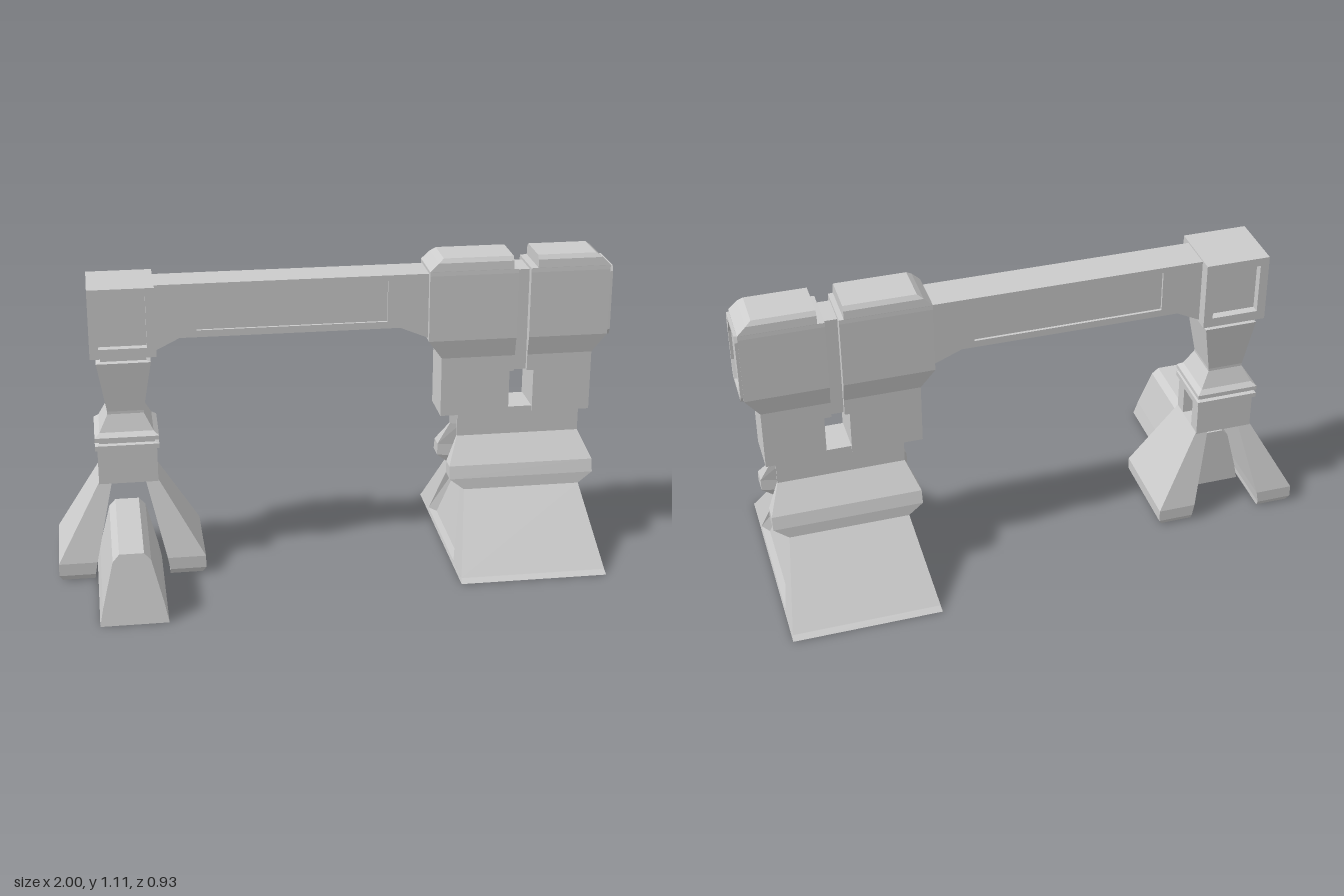
import * as THREE from 'three';

const C = -0.0675;   // z of the gate's centre plane
const LX = -0.738;   // x of the slim column
const RX = 0.68;     // x of the heavy tower

const mat = new THREE.MeshStandardMaterial({ color: 0xcccccc, flatShading: true });

function add(parent, name, geo) {
  const m = new THREE.Mesh(geo, mat);
  m.name = name;
  parent.add(m);
  return m;
}

// Skin closed rings of [x, y, z] points; end caps fan from their centres
function loft(rings) {
  const n = rings[0].length, pos = [];
  const tri = (a, b, c) => pos.push([a, b, c]);
  for (let i = 0; i < rings.length - 1; i++) {
    for (let j = 0; j < n; j++) {
      const k = (j + 1) % n, [p, q] = [rings[i], rings[i + 1]];
      tri(p[j], q[j], q[k]);
      tri(p[j], q[k], p[k]);
    }
  }
  const cap = (r, flip) => {
    const c = [0, 1, 2].map(a => r.reduce((s, p) => s + p[a], 0) / n);
    for (let j = 0; j < n; j++) {
      const k = (j + 1) % n;
      flip ? tri(c, r[k], r[j]) : tri(c, r[j], r[k]);
    }
  };
  cap(rings[0], false);
  cap(rings[rings.length - 1], true);
  // make the faces point outward whichever way the rings run
  let vol = 0;
  for (const [a, b, c] of pos) {
    vol += a[0] * (b[1] * c[2] - b[2] * c[1]) + a[1] * (b[2] * c[0] - b[0] * c[2]) + a[2] * (b[0] * c[1] - b[1] * c[0]);
  }
  const flat = pos.flatMap(([a, b, c]) => (vol < 0 ? [...a, ...c, ...b] : [...a, ...b, ...c]));
  const g = new THREE.BufferGeometry();
  g.setAttribute('position', new THREE.Float32BufferAttribute(flat, 3));
  g.computeVertexNormals();
  return g;
}

// Rectangular ring from x0 to x1 with half depth hz
const rect = (y, x0, x1, hz) => [[x0, y, C - hz], [x1, y, C - hz], [x1, y, C + hz], [x0, y, C + hz]];

const box = (x0, x1, y0, y1, z0, z1) =>
  new THREE.BoxGeometry(x1 - x0, y1 - y0, z1 - z0).translate((x0 + x1) / 2, (y0 + y1) / 2, (z0 + z1) / 2);

const shapeOf = pts => new THREE.Shape(pts.map(p => new THREE.Vector2(...p)));
const rectPts = (x0, x1, y0, y1) => [[x0, y0], [x1, y0], [x1, y1], [x0, y1]];

function plate(pts, hole, z0, z1) {
  const s = shapeOf(pts);
  if (hole) s.holes.push(new THREE.Path(hole.map(p => new THREE.Vector2(...p)).reverse()));
  return new THREE.ExtrudeGeometry(s, { depth: z1 - z0, bevelEnabled: false }).translate(0, 0, z0);
}

// Core with a framed recess on front and back
function framed(parent, name, pts, hole, half, depth) {
  add(parent, name + 'Core', plate(pts, null, C - half + depth, C + half - depth));
  add(parent, name + 'FrontFrame', plate(pts, hole, C + half - depth, C + half));
  add(parent, name + 'BackFrame', plate(pts, hole, C - half, C - half + depth));
}

function beam(root) {
  const g = new THREE.Group();
  g.name = 'crossBeam';
  framed(g, 'beam', [[-0.64, 0.81], [-0.62, 0.82], [-0.54, 0.86], [0.24, 0.86], [0.36, 0.81], [0.36, 1.055], [-0.64, 1.055]],
    rectPts(-0.48, 0.195, 0.885, 1.035), 0.0675, 0.01);
  framed(g, 'cornerBox', rectPts(-0.853, -0.623, 0.81, 1.06),
    rectPts(-0.822, -0.655, 0.845, 1.03), 0.112, 0.03);
  root.add(g);
}

function slimColumn(root) {
  const g = new THREE.Group();
  g.name = 'slimColumn';
  // two walls leave a passage through the block
  for (const s of [-1, 1]) {
    add(g, 'blockWall', box(LX - 0.105, LX + 0.105, 0.335, 0.465, C + s * 0.068 - 0.026, C + s * 0.068 + 0.026));
  }
  // stacked collars, waist and flared capital: height, half width, half depth
  const rows = [[0.445, 0.104, 0.093], [0.465, 0.104, 0.093], [0.468, 0.113, 0.108], [0.485, 0.113, 0.108], [0.489, 0.098, 0.095],
    [0.496, 0.098, 0.095], [0.5, 0.113, 0.108], [0.515, 0.113, 0.108], [0.53, 0.095, 0.092], [0.59, 0.064, 0.07],
    [0.6, 0.064, 0.07], [0.785, 0.095, 0.092], [0.79, 0.08, 0.08], [0.82, 0.08, 0.08]];
  add(g, 'collarsAndCapital', loft(rows.map(([y, hx, hz]) => rect(y, LX - hx, LX + hx, hz))));
  // splayed legs
  for (const s of [-1, 1]) {
    const legRows = [[0, 0.133, 0.25, 0.16], [0.02, 0.133, 0.262, 0.17], [0.065, 0.125, 0.262, 0.17], [0.34, 0.06, 0.106, 0.092]];
    add(g, 'splayedLeg', loft(legRows.map(([y, a, b, hz]) => rect(y, LX + s * a, LX + s * b, hz))));
  }
  // long forward foot with a raked nose
  const half = [[0.117, 0], [0.105, 0.06], [0.065, 0.215], [0.042, 0.24]];
  const prof = [...half, ...half.map(([x, y]) => [-x, y]).reverse()];
  add(g, 'forwardFoot', loft([
    prof.map(([x, y]) => [LX - 0.008 + x, y, -0.05]),
    prof.map(([x, y]) => [LX - 0.008 + x, y, 0.465 - y * 0.23]),
  ]));
  root.add(g);
}

function towerHead(root) {
  const g = new THREE.Group();
  g.name = 'towerHead';
  // one half: s points inward from its outer end; a and b are its inner edges
  const halfHead = (end, s, notch, slot) => {
    const rows = [[0.52, 0.05, notch, 0.077], [0.68, 0.05, notch, 0.077], [0.681, 0.05, slot, 0.077], [0.74, 0.05, slot, 0.077],
      [0.81, 0, slot, 0.09], [1.05, 0, slot, 0.088], [1.065, 0, slot, 0.087], [1.066, 0, notch, 0.087],
      [1.095, 0.03, notch, 0.084], [1.11, 0.05, notch, 0.073]];
    return loft(rows.map(([y, inset, inner, hz]) => rect(y, end + s * inset, inner, hz)));
  };
  add(g, 'innerHalf', halfHead(0.34, 1, 0.64, 0.657));
  add(g, 'outerHalf', halfHead(0.99, -1, 0.728, 0.703));
  add(g, 'slotWeb', box(0.645, 0.715, 0.68, 1.055, C - 0.06, C + 0.06));
  add(g, 'sill', box(0.63, 0.74, 0.52, 0.54, C - 0.07, C + 0.07));
  // eight-sided recess rim on the end face
  const oct = (h, y0, y1, c) => [[-h, y0 + 2 * c], [-h + c, y0], [h - c, y0], [h, y0 + 2 * c],
    [h, y1 - 2 * c], [h - c, y1], [-h + c, y1], [-h, y1 - 2 * c]];
  const rim = plate(oct(0.087, 0.805, 1.062, 0.01), oct(0.074, 0.817, 1.05, 0.03), 0, 0.012);
  rim.rotateY(Math.PI / 2).translate(0.988, 0, C);
  add(g, 'endRim', rim);
  root.add(g);
}

function towerBase(root) {
  // height, half width, half depth, groove mouth, groove floor half depth, floor x
  const rows = [
    [0, 0.265, 0.395, 0.24, 0.2, 0.265], [0.014, 0.262, 0.377, 0.235, 0.197, 0.262], [0.015, 0.262, 0.376, 0.235, 0.197, 0.238],
    [0.26, 0.213, 0.155, 0.086, 0.066, 0.187], [0.3, 0.265, 0.151, 0.084, 0.064, 0.187],
    [0.345, 0.265, 0.137, 0.082, 0.062, 0.187], [0.435, 0.225, 0.066, 0.058, 0.045, 0.187], [0.525, 0.225, 0.066, 0.058, 0.045, 0.187]];
  const ring = ([y, hx, hz, m, f, fx]) => {
    const side = [[hx, hz], [hx, m], [fx, f], [fx, -f], [hx, -m], [hx, -hz]];
    return [...side, ...side.map(([x, z]) => [-x, -z])].map(([x, z]) => [RX + x, y, C + z]);
  };
  add(root, 'towerBase', loft(rows.map(ring)));
}

export function createModel() {
  const root = new THREE.Group();
  root.name = 'gantryGate';
  beam(root);
  slimColumn(root);
  towerHead(root);
  towerBase(root);
  return root;
}
